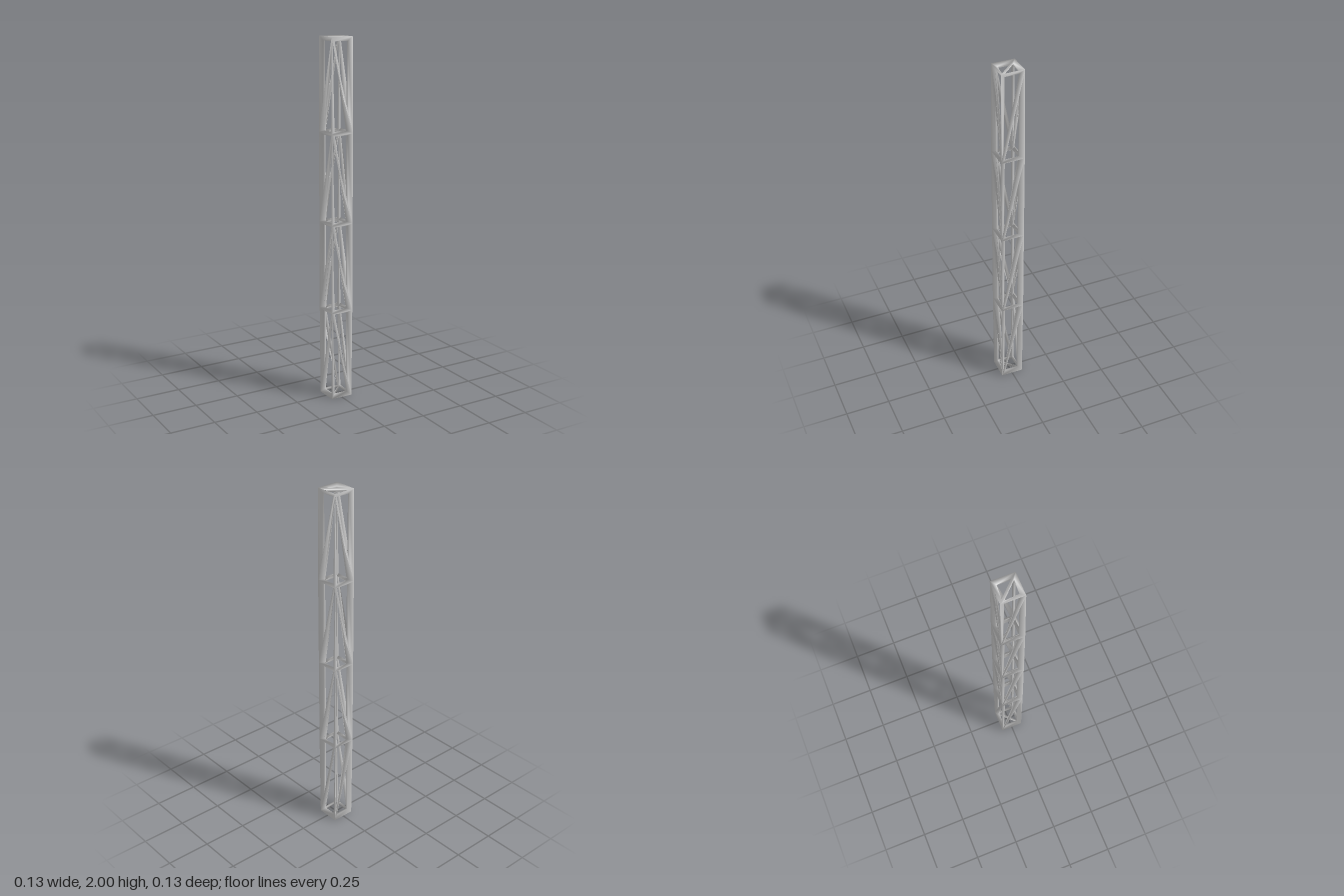
import * as THREE from 'three';

const HALF = 0.053;    // half width of the mast, centre line to centre line
const STRUT = 0.0184;  // half thickness of a strut
const BAYS = 4;
const BASE = STRUT / Math.sqrt(3);
const BAY_HEIGHT = (2 - 2 * BASE) / BAYS;
const CORNERS = [[1, 1], [1, -1], [-1, -1], [-1, 1]];

// Nodes of the truss: four corners on every level, with their outward direction
function makeNodes() {
  const nodes = [];
  for (let level = 0; level <= BAYS; level++) {
    const up = level === 0 ? -1 : level === BAYS ? 1 : 0;
    for (const [sx, sz] of CORNERS) {
      nodes.push({
        p: new THREE.Vector3(sx * HALF, BASE + level * BAY_HEIGHT, sz * HALF),
        n: new THREE.Vector3(sx, up, sz).normalize(),
      });
    }
  }
  return nodes;
}

// Triangular panels between the nodes; every panel edge becomes a strut
function makePanels() {
  const panels = [];
  for (let bay = 0; bay < BAYS; bay++) {
    for (let i = 0; i < 4; i++) {
      const a = bay * 4 + i, b = bay * 4 + (i + 1) % 4;
      const c = b + 4, d = a + 4;
      // the braces alternate from side to side, except at the back of the lowest bay
      const rising = i % 2 === 0 || (i === 1 && bay === 0);
      if (rising) panels.push([a, b, c], [a, c, d]);
      else panels.push([a, b, d], [b, c, d]);
    }
  }
  const t = BAYS * 4;
  panels.push([t, t + 1, t + 2], [t, t + 2, t + 3]); // top cap
  panels.push([3, 2, 1], [3, 1, 0]);                 // bottom cap
  return panels;
}

// Diamond-section struts: crests outside and inside, rims set into each panel
function strutGeometry(nodes, panels) {
  const positions = [], index = [];
  const add = (v) => positions.push(v.x, v.y, v.z) / 3 - 1;
  const quad = (a, b, c, d) => index.push(a, b, c, a, c, d);
  const outer = nodes.map(({ p, n }) => add(p.clone().addScaledVector(n, STRUT)));
  const inner = nodes.map(({ p, n }) => add(p.clone().addScaledVector(n, -STRUT)));

  for (const panel of panels) {
    const rim = panel.map((id, k) => {
      const p = nodes[id].p;
      const toNext = nodes[panel[(k + 1) % 3]].p.clone().sub(p).normalize();
      const toPrev = nodes[panel[(k + 2) % 3]].p.clone().sub(p).normalize();
      const bisector = toNext.add(toPrev).normalize();
      return add(p.clone().addScaledVector(bisector, STRUT));
    });
    for (let k = 0; k < 3; k++) {
      const m = (k + 1) % 3;
      quad(outer[panel[k]], outer[panel[m]], rim[m], rim[k]);
      quad(inner[panel[m]], inner[panel[k]], rim[k], rim[m]);
    }
  }

  const geometry = new THREE.BufferGeometry();
  geometry.setAttribute('position', new THREE.Float32BufferAttribute(positions, 3));
  geometry.setIndex(index);
  geometry.computeVertexNormals();
  return geometry;
}

export function createModel() {
  const group = new THREE.Group();
  group.name = 'trussMast';
  const material = new THREE.MeshStandardMaterial({ color: 0xcccccc, side: THREE.DoubleSide });
  const lattice = new THREE.Mesh(strutGeometry(makeNodes(), makePanels()), material);
  lattice.name = 'latticeStruts';
  group.add(lattice);
  return group;
}
